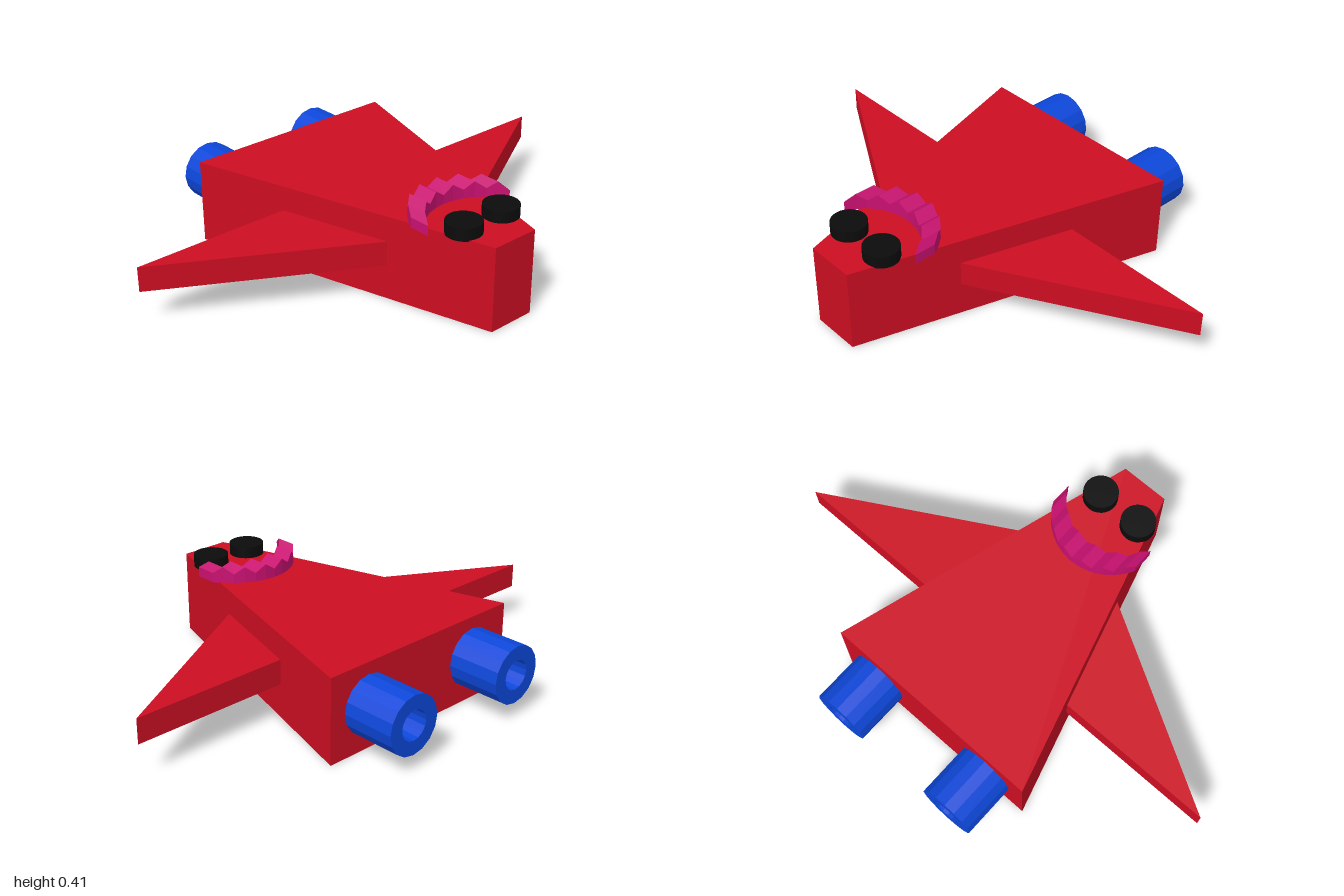
import * as THREE from 'three';

const paint = (color) => new THREE.MeshStandardMaterial({ color, flatShading: true });

// Flat plate: outline given as [x, z] corners, filled between two heights
function plate(corners, bottom, top) {
  const shape = new THREE.Shape(corners.map(([x, z]) => new THREE.Vector2(x, z)));
  const geo = new THREE.ExtrudeGeometry(shape, { depth: top - bottom, bevelEnabled: false });
  return geo.rotateX(Math.PI / 2).translate(0, top, 0);
}

// Arched strip with a zigzag top: a segmented box bent around an arc
function zigzagArch() {
  const teeth = 6, steps = teeth * 2, radius = 0.23, halfAngle = 1.14;
  const box = new THREE.BoxGeometry(1, 1, 1, steps, 1, 1);
  const p = box.attributes.position;
  for (let i = 0; i < p.count; i++) {
    const t = p.getX(i);
    const a = t * 2 * halfAngle;
    const isPeak = Math.round((t + 0.5) * steps) % 2 === 1;
    const y = p.getY(i) < 0 ? 0.338 : isPeak ? 0.407 : 0.378;
    const z = 0.285 + radius * (1 - Math.cos(a)) + (p.getZ(i) + 0.5) * 0.088;
    p.setXYZ(i, radius * Math.sin(a), y, z);
  }
  const geo = box.toNonIndexed();
  geo.computeVertexNormals();
  return geo;
}

export function createModel() {
  const model = new THREE.Group();
  const red = paint(0xcc0e22), blue = paint(0x0d47d9);
  const black = paint(0x0b0b0b), pink = paint(0xc81070);
  const add = (name, geo, mat, x = 0, y = 0, z = 0) => {
    const mesh = new THREE.Mesh(geo, mat);
    mesh.name = name;
    mesh.position.set(x, y, z);
    model.add(mesh);
    return mesh;
  };

  // Tapered wedge body
  add('body', plate([[-0.46, -0.517], [0.46, -0.517], [0.1, 0.73], [-0.1, 0.73]], 0, 0.342), red);

  // Crest behind the eyes
  add('crest', zigzagArch(), pink);

  // Hollow engine tube profile: outer wall, rear rim, bore
  const tube = [[0.117, 0], [0.117, 0.22], [0.06, 0.22], [0.06, 0]]
    .map(([r, h]) => new THREE.Vector2(r, h));
  const engine = new THREE.LatheGeometry(tube, 16).rotateX(-Math.PI / 2);
  const eye = new THREE.CylinderGeometry(0.07, 0.07, 0.05, 32);

  for (const [side, s] of [['left', 1], ['right', -1]]) {
    // Swept triangular wing
    const wing = [[0.22, 0.31], [s === 1 ? 0.995 : 1, -0.137], [0.2, -0.137]];
    add(side + 'Wing', plate(wing.map(([x, z]) => [x * s, z]), 0.14, 0.24), red);

    const thruster = add(side + 'Engine', engine, blue, s * 0.275, 0.178, -0.515);
    thruster.material = blue;

    add(side + 'Eye', eye, black, s * 0.095, 0.363, 0.57);
  }
  blue.side = THREE.DoubleSide;
  return model;
}
